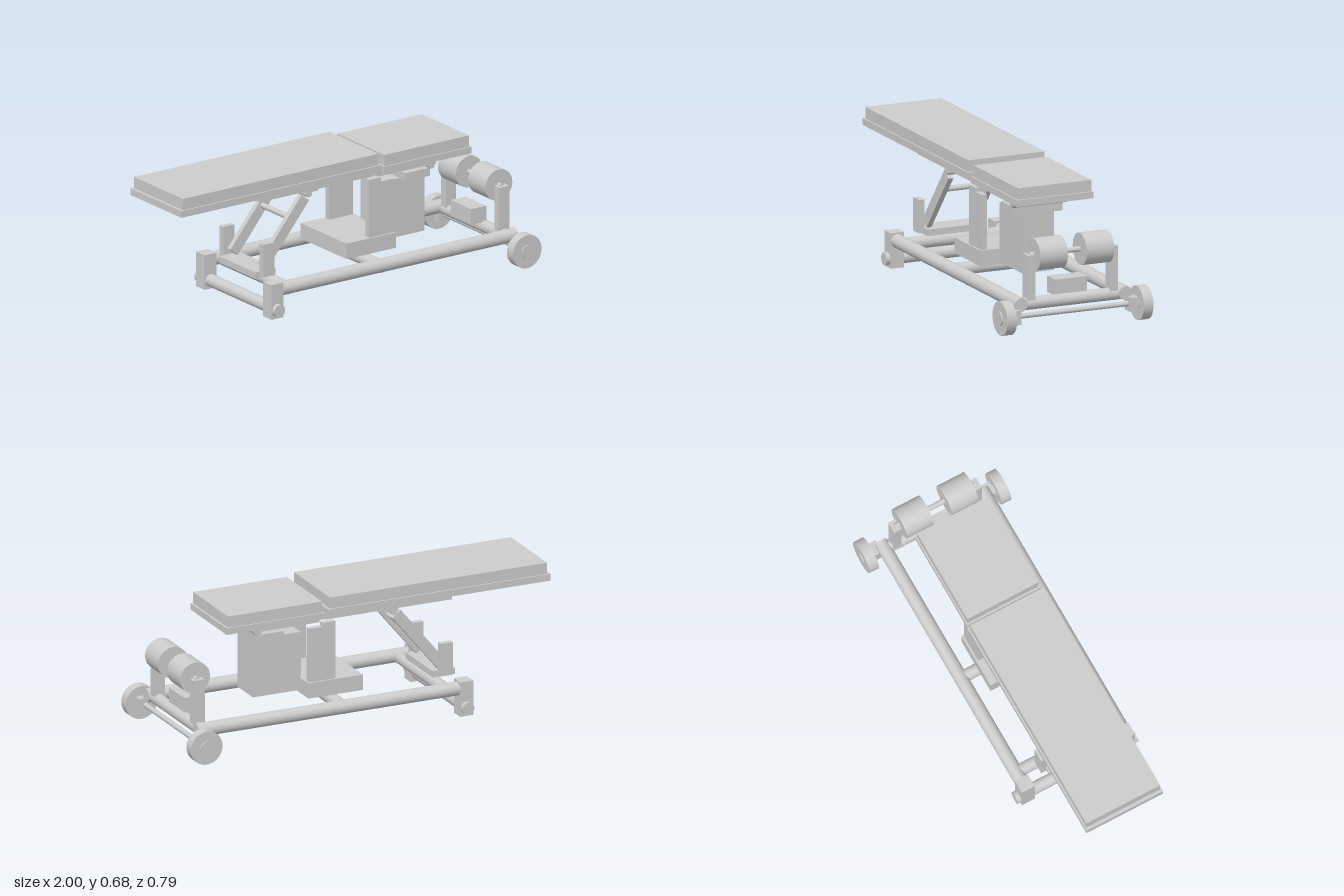
import * as THREE from 'three';

const material = new THREE.MeshStandardMaterial({ color: 0xcccccc });

export function createModel() {
  const model = new THREE.Group();

  function add(name, geometry, x, y, z) {
    const mesh = new THREE.Mesh(geometry, material);
    mesh.name = name;
    mesh.position.set(x, y, z);
    model.add(mesh);
    return mesh;
  }
  // box given by its limits on each axis
  const box = (name, x0, x1, y0, y1, z0, z1) =>
    add(name, new THREE.BoxGeometry(x1 - x0, y1 - y0, z1 - z0),
      (x0 + x1) / 2, (y0 + y1) / 2, (z0 + z1) / 2);
  // box repeated on both sides
  const boxPair = (name, x0, x1, y0, y1, z0, z1) => {
    box(name + 'Left', x0, x1, y0, y1, z0, z1);
    box(name + 'Right', x0, x1, y0, y1, -z1, -z0);
  };
  // cylinder lying across the model
  const crossTube = (name, x, y, r, z0, z1) =>
    add(name, new THREE.CylinderGeometry(r, r, z1 - z0, 40).rotateX(Math.PI / 2), x, y, (z0 + z1) / 2);
  const crossPair = (name, x, y, r, z0, z1) => {
    crossTube(name + 'Left', x, y, r, z0, z1);
    crossTube(name + 'Right', x, y, r, -z1, -z0);
  };

  // padded top in two sections, each on a board
  box('longCushion', -0.985, 0.17, 0.62, 0.677, -0.202, 0.202);
  box('longBoard', -1, 0.185, 0.586, 0.62, -0.21, 0.21);
  box('shortCushion', 0.21, 0.71, 0.604, 0.661, -0.195, 0.195);
  box('shortBoard', 0.2, 0.72, 0.571, 0.604, -0.202, 0.202);
  crossTube('hinge', 0.19, 0.58, 0.014, -0.19, 0.19);

  // rails under the boards
  boxPair('longRail', -0.5, 0.17, 0.55, 0.587, 0.1, 0.155);
  const railShape = new THREE.Shape();
  railShape.moveTo(0.2, 0.573);
  railShape.lineTo(0.2, 0.538);
  railShape.lineTo(0.51, 0.538);
  railShape.lineTo(0.53, 0.517);
  railShape.lineTo(0.55, 0.54);
  railShape.lineTo(0.55, 0.573);
  for (const z of [0.103, -0.146]) {
    add('shortRail', new THREE.ExtrudeGeometry(railShape, { depth: 0.043, bevelEnabled: false }), 0, 0, z);
  }
  crossTube('shortRailBar', 0.525, 0.533, 0.018, -0.145, 0.145);

  // lifting column and drive housing
  box('columnBase', -0.01, 0.28, 0.175, 0.253, -0.19, 0.19);
  boxPair('columnInner', 0.13, 0.2, 0.2, 0.545, 0.15, 0.18);
  boxPair('columnOuter', 0.2, 0.27, 0.2, 0.525, 0.15, 0.18);
  box('driveHousing', 0.27, 0.525, 0.185, 0.48, -0.085, 0.085);
  box('driveCap', 0.38, 0.525, 0.475, 0.516, -0.13, 0.13);

  // slanted support arms
  const a = new THREE.Vector2(-0.46, 0.215), b = new THREE.Vector2(-0.215, 0.513);
  const along = b.clone().sub(a);
  for (const z of [0.123, -0.123]) {
    const arm = add('supportArm', new THREE.BoxGeometry(along.length(), 0.056, 0.027),
      (a.x + b.x) / 2, (a.y + b.y) / 2, z);
    arm.rotation.z = along.angle();
  }
  crossTube('armTopBar', -0.2, 0.53, 0.017, -0.145, 0.145);
  boxPair('armBracket', -0.22, -0.145, 0.538, 0.555, 0.105, 0.145);
  crossTube('armMiddleBar', -0.29, 0.42, 0.014, -0.12, 0.12);
  boxPair('armPost', -0.495, -0.43, 0.175, 0.34, 0.15, 0.18);
  box('armBeam', -0.52, -0.4, 0.165, 0.197, -0.15, 0.15);

  // tubular base frame
  for (const z of [0.277, -0.277]) {
    add('sideTube', new THREE.CylinderGeometry(0.034, 0.034, 1.4, 40).rotateZ(Math.PI / 2), 0.22, 0.14, z);
  }
  for (const x of [-0.42, 0.13, 0.885]) crossTube('frameCrossTube', x, 0.135, 0.031, -0.285, 0.285);

  // feet
  boxPair('foot', -0.54, -0.47, 0.005, 0.18, 0.24, 0.31);
  crossTube('footTube', -0.505, 0.048, 0.031, -0.331, 0.331);

  // wheels and axle
  crossTube('axle', 0.915, 0.085, 0.013, -0.39, 0.39);
  crossPair('wheel', 0.915, 0.084, 0.084, 0.337, 0.388);
  crossPair('wheelHub', 0.915, 0.084, 0.035, 0.33, 0.395);
  boxPair('axleBracket', 0.88, 0.95, 0.05, 0.12, 0.29, 0.331);

  // foot rollers on posts
  boxPair('rollerPost', 0.855, 0.915, 0.155, 0.378, 0.2, 0.24);
  crossPair('roller', 0.885, 0.375, 0.079, 0.05, 0.196);
  crossTube('rollerShaft', 0.885, 0.375, 0.013, -0.22, 0.22);
  box('controlBox', 0.8, 0.89, 0.158, 0.238, -0.085, 0.085);

  return model;
}
